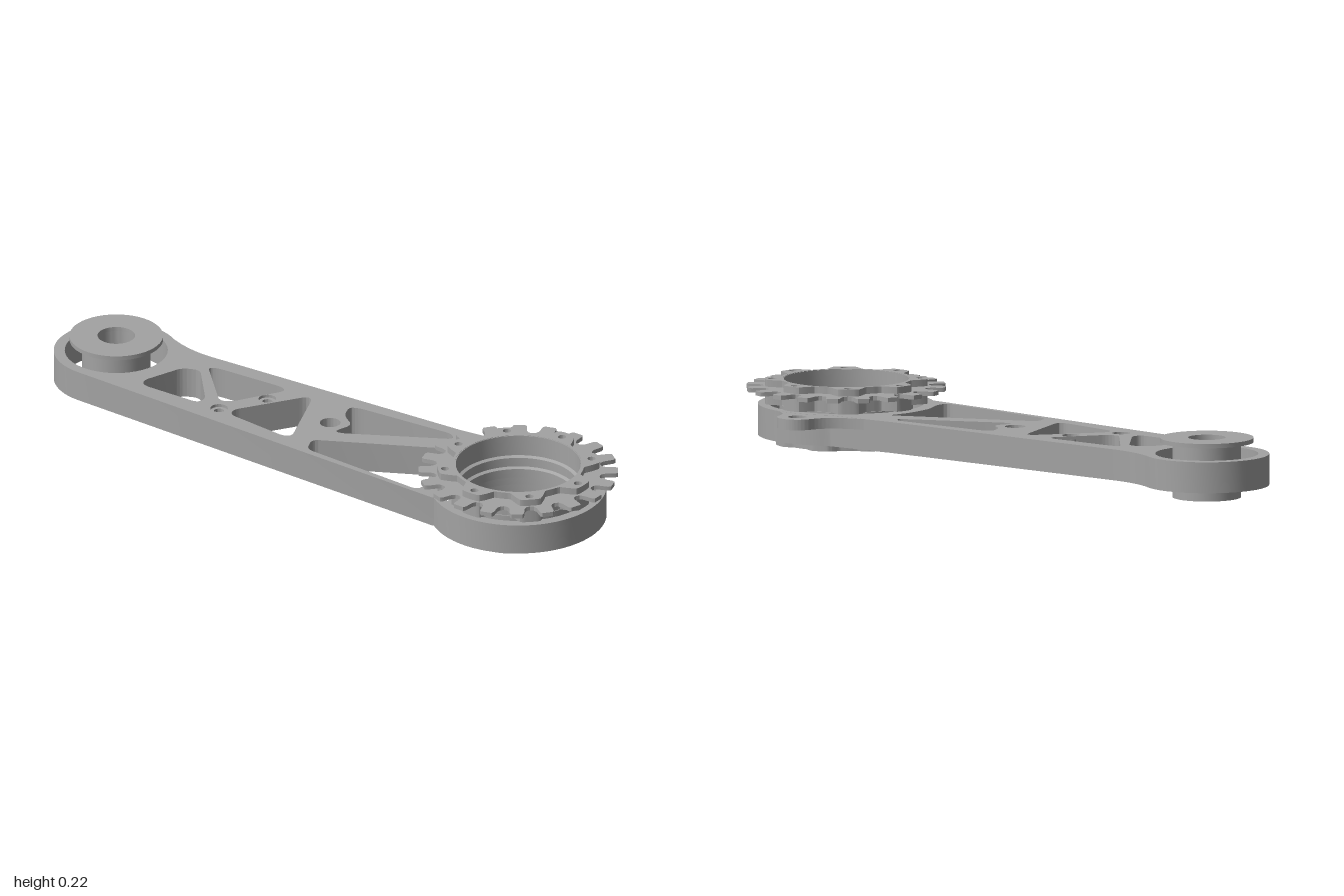
import * as THREE from 'three';
import { toCreasedNormals } from 'three/addons/utils/BufferGeometryUtils.js';

const rad = THREE.MathUtils.degToRad;
const PIVOT = [-0.8, -0.38];
const HUB = [0.68, 0.255];

// Plan shapes are drawn as (x, z) and extruded between two heights
function plate(name, shape, bottom, top, material) {
  let geo = new THREE.ExtrudeGeometry(shape, { depth: top - bottom, bevelEnabled: false, curveSegments: 24 });
  geo.rotateX(Math.PI / 2).translate(0, top, 0);
  geo = toCreasedNormals(geo, 0.5);
  const mesh = new THREE.Mesh(geo, material);
  mesh.name = name;
  return mesh;
}

function circle(x, z, r, Type = THREE.Path) {
  return new Type().absarc(x, z, r, 0, Math.PI * 2, false);
}

function ring(x, z, outer, inner) {
  const s = circle(x, z, outer, THREE.Shape);
  s.holes.push(circle(x, z, inner));
  return s;
}

// Closed outline with every corner rounded
function rounded(points, radius, Type = THREE.Path) {
  const path = new Type();
  const v = points.map(p => new THREE.Vector2(...p));
  v.forEach((p, i) => {
    const before = v[(i + v.length - 1) % v.length], after = v[(i + 1) % v.length];
    const cut = q => p.clone().lerp(q, Math.min(0.45, radius / p.distanceTo(q)));
    const a = cut(before), b = cut(after);
    if (i) path.lineTo(a.x, a.y); else path.moveTo(a.x, a.y);
    path.quadraticCurveTo(p.x, p.y, b.x, b.y);
  });
  path.closePath();
  return path;
}

function holeCircle(shape, [x, z], radius, count, r, offset) {
  for (let i = 0; i < count; i++) {
    const a = offset + i * Math.PI * 2 / count;
    shape.holes.push(circle(x + radius * Math.cos(a), z + radius * Math.sin(a), r));
  }
}

// Eight-lobed ring; sign picks whether lobes or notches fall on the axes
function lobedRing(low, high, inner, sign) {
  const pts = [], n = 192;
  for (let i = 0; i < n; i++) {
    const a = i / n * Math.PI * 2;
    const k = THREE.MathUtils.clamp(1.8 * sign * Math.cos(8 * a), -1, 1);
    const r = (low + high) / 2 + k * (high - low) / 2;
    pts.push(new THREE.Vector2(HUB[0] + r * Math.cos(a), HUB[1] + r * Math.sin(a)));
  }
  const s = new THREE.Shape(pts);
  s.holes.push(circle(...HUB, inner));
  return s;
}

function armShape() {
  const s = new THREE.Shape();
  s.moveTo(-0.883, -0.198);
  s.lineTo(0.43, 0.4);
  s.absarc(...HUB, 0.283, rad(149), rad(-100), true);
  s.quadraticCurveTo(0.55, -0.045, 0.49, -0.065);
  s.lineTo(0.4, -0.09);
  s.lineTo(-0.48, -0.4);
  s.quadraticCurveTo(-0.57, -0.43, -0.638, -0.498);
  s.absarc(...PIVOT, 0.2, rad(-36), rad(-245.4), true);
  // Lightening pockets
  const pockets = [
    [[-0.565, -0.305], [-0.505, -0.305], [-0.44, -0.11], [-0.46, -0.08], [-0.655, -0.157], [-0.665, -0.19]],
    [[-0.485, -0.33], [-0.45, -0.33], [-0.222, -0.25], [-0.205, -0.225], [-0.355, -0.11], [-0.395, -0.11]],
    [[-0.13, -0.2], [-0.108, -0.19], [-0.108, 0.078], [-0.135, 0.087], [-0.335, -0.02], [-0.335, -0.056]],
    [[0.02, -0.16], [0.055, -0.162], [0.385, -0.055], [0.4, -0.02], [0.04, 0.025], [0.015, 0.015], [0.06, -0.04], [0.02, -0.1]],
    [[-0.04, 0.092], [0.455, 0.045], [0.41, 0.12], [0.384, 0.22], [0.392, 0.32], [0.37, 0.355], [-0.04, 0.16]],
  ];
  pockets.forEach(p => s.holes.push(rounded(p, 0.025)));
  // Bores
  s.holes.push(circle(...PIVOT, 0.165), circle(...HUB, 0.25), circle(-0.012, -0.04, 0.033));
  s.holes.push(circle(-0.248, -0.158, 0.028), circle(-0.382, -0.056, 0.028));
  return s;
}

function sprocketShape() {
  const teeth = 20, pts = [];
  const profile = [[-9, 0.264], [-6.5, 0.268], [-5, 0.28], [-4.2, 0.312], [-3.2, 0.32],
    [3.2, 0.32], [4.2, 0.312], [5, 0.28], [6.5, 0.268]];
  for (let i = 0; i < teeth; i++) {
    for (const [deg, r] of profile) {
      const a = rad(deg + 5 + i * 360 / teeth);
      pts.push(new THREE.Vector2(HUB[0] + r * Math.cos(a), HUB[1] + r * Math.sin(a)));
    }
  }
  const s = new THREE.Shape(pts);
  s.holes.push(circle(...HUB, 0.203));
  holeCircle(s, HUB, 0.237, 8, 0.013, rad(22.5));
  return s;
}

export function createModel() {
  const model = new THREE.Group();
  model.name = 'driveArm';
  const metal = new THREE.MeshStandardMaterial({ color: 0xa3a3a3 });
  metal.name = 'grey metal';

  // Arm and its two lined screw holes
  model.add(plate('arm', armShape(), 0.04, 0.14, metal));
  for (const [x, z] of [[-0.248, -0.158], [-0.382, -0.056]]) {
    model.add(plate('screwBushing', ring(x, z, 0.0285, 0.016), 0.045, 0.13, metal));
  }

  // Thin ear beside the hub
  const ear = new THREE.Shape();
  ear.moveTo(0.5, -0.062);
  ear.quadraticCurveTo(0.62, -0.05, 0.658, -0.122);
  ear.absarc(0.715, -0.09, 0.065, rad(-151), 0, false);
  ear.quadraticCurveTo(0.775, -0.03, 0.82, 0.008);
  ear.lineTo(0.6, 0.008);
  ear.holes.push(circle(0.715, -0.09, 0.03));
  model.add(plate('ear', ear, 0.105, 0.1395, metal));

  // Pivot spindle with flange
  const spindle = ring(...PIVOT, 0.11, 0.06);
  holeCircle(spindle, PIVOT, 0.086, 8, 0.01, 0);
  model.add(plate('pivotSpindle', spindle, 0, 0.178, metal));
  model.add(plate('pivotFlange', ring(...PIVOT, 0.15, 0.06), 0.178, 0.192, metal));

  // Hub: lobed carrier on top, notched retainer below
  const carrier = lobedRing(0.212, 0.26, 0.203, -1);
  holeCircle(carrier, HUB, 0.237, 8, 0.013, rad(22.5));
  model.add(plate('hubCarrier', carrier, 0.14, 0.22, metal));
  model.add(plate('hubRetainer', lobedRing(0.214, 0.236, 0.203, 1), 0.015, 0.05, metal));

  // Stepped sleeve lining the bore
  const sleeve = [
    [0.2, 0.016], [0.214, 0.016], [0.214, 0.139], [0.208, 0.139], [0.208, 0.219], [0.2, 0.219],
    [0.2, 0.15], [0.19, 0.145], [0.19, 0.115], [0.18, 0.11], [0.18, 0.08], [0.19, 0.075], [0.19, 0.05], [0.2, 0.045], [0.2, 0.016],
  ].map(p => new THREE.Vector2(...p));
  const liner = new THREE.Mesh(
    toCreasedNormals(new THREE.LatheGeometry(sleeve, 72), 0.4), metal);
  liner.position.set(HUB[0], 0, HUB[1]);
  liner.name = 'hubSleeve';
  model.add(liner);

  // Toothed ring
  model.add(plate('sprocket', sprocketShape(), 0.184, 0.198, metal));
  return model;
}
